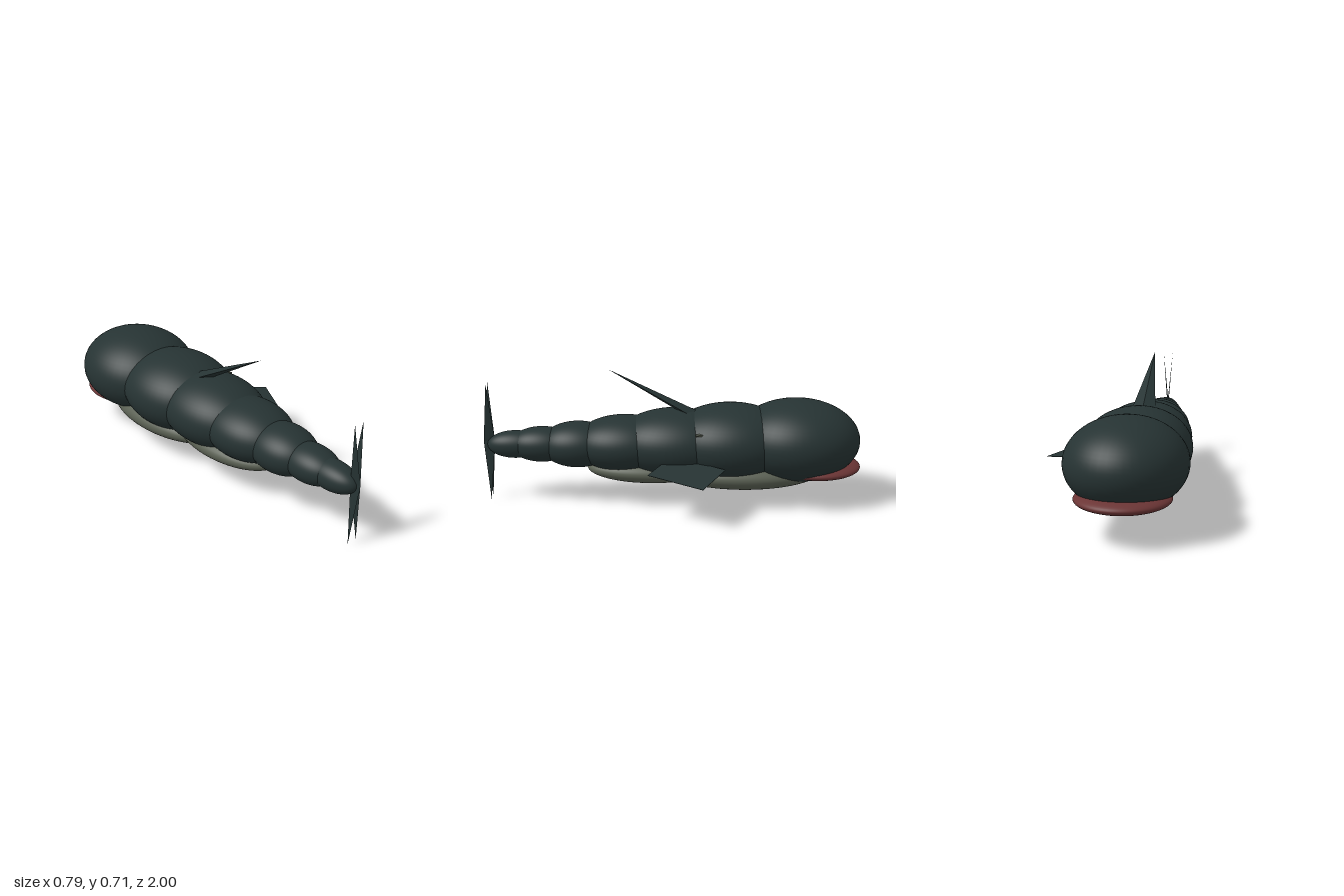
import * as THREE from 'three';

const CX = -0.095; // body axis

export function createModel() {
  const model = new THREE.Group();
  const skin = new THREE.MeshStandardMaterial({ name: 'dark slate skin', color: 0x263333 });
  const pale = new THREE.MeshStandardMaterial({ name: 'olive grey belly', color: 0x5a6053 });
  const red = new THREE.MeshStandardMaterial({ name: 'dull red mouth', color: 0x6b3535 });

  const add = (name, geometry, material, x, y, z) => {
    const mesh = new THREE.Mesh(geometry, material);
    mesh.name = name;
    mesh.position.set(x, y, z);
    model.add(mesh);
    return mesh;
  };
  const ellipsoid = (name, material, y, z, rx, ry, rz) =>
    add(name, new THREE.SphereGeometry(1, 48, 32), material, CX, y, z).scale.set(rx, ry, rz);

  // Head and overlapping body segments, tapering to the tail: y, z, radii
  [
    ['head', 0.33, -0.66, 0.293, 0.216, 0.333],
    ['shoulderSegment', 0.322, -0.31, 0.272, 0.201, 0.34],
    ['chestSegment', 0.315, -0.02, 0.24, 0.18, 0.33],
    ['waistSegment', 0.31, 0.25, 0.2, 0.148, 0.27],
    ['hipSegment', 0.303, 0.5, 0.15, 0.121, 0.2],
    ['tailSegment', 0.303, 0.69, 0.11, 0.093, 0.17],
    ['tailTip', 0.302, 0.83, 0.08, 0.073, 0.15],
  ].forEach(([name, ...p]) => ellipsoid(name, skin, ...p));

  // Underside
  ellipsoid('frontBelly', pale, 0.165, -0.38, 0.222, 0.09, 0.42);
  ellipsoid('rearBelly', pale, 0.18, 0.1, 0.178, 0.075, 0.35);
  ellipsoid('mouth', red, 0.188, -0.76, 0.226, 0.048, 0.24);

  // Four-sided dorsal fin, leaning along the back
  const dorsal = add('dorsalFin', new THREE.ConeGeometry(1, 1, 4).toNonIndexed(), skin, CX, 0.5825, 0.1);
  dorsal.geometry.computeVertexNormals();
  dorsal.scale.set(0.065, 0.535, 0.027);
  dorsal.rotation.x = THREE.MathUtils.degToRad(61.5);

  // Two crossed, blade-thin tail fins
  for (const side of [-1, 1]) {
    const blade = add('tailFin', new THREE.OctahedronGeometry(1), skin, CX, 0.317, 0.97);
    blade.scale.set(0.001, 0.318, 0.03);
    blade.rotation.z = side * 0.087;
  }

  // Flat side fin, and the thin edge of a plate breaking the skin above it
  const fin = add('sideFin', new THREE.BoxGeometry(0.246, 0.002, 0.314), skin, 0.2175, 0.249, -0.075);
  fin.rotation.set(0, -0.51, -0.145, 'ZYX');
  const sliver = add('finEdge', new THREE.BoxGeometry(0.016, 0.008, 0.04), pale, 0.11, 0.412, -0.14);
  sliver.rotation.set(0, 0.2, -0.2);

  return model;
}
